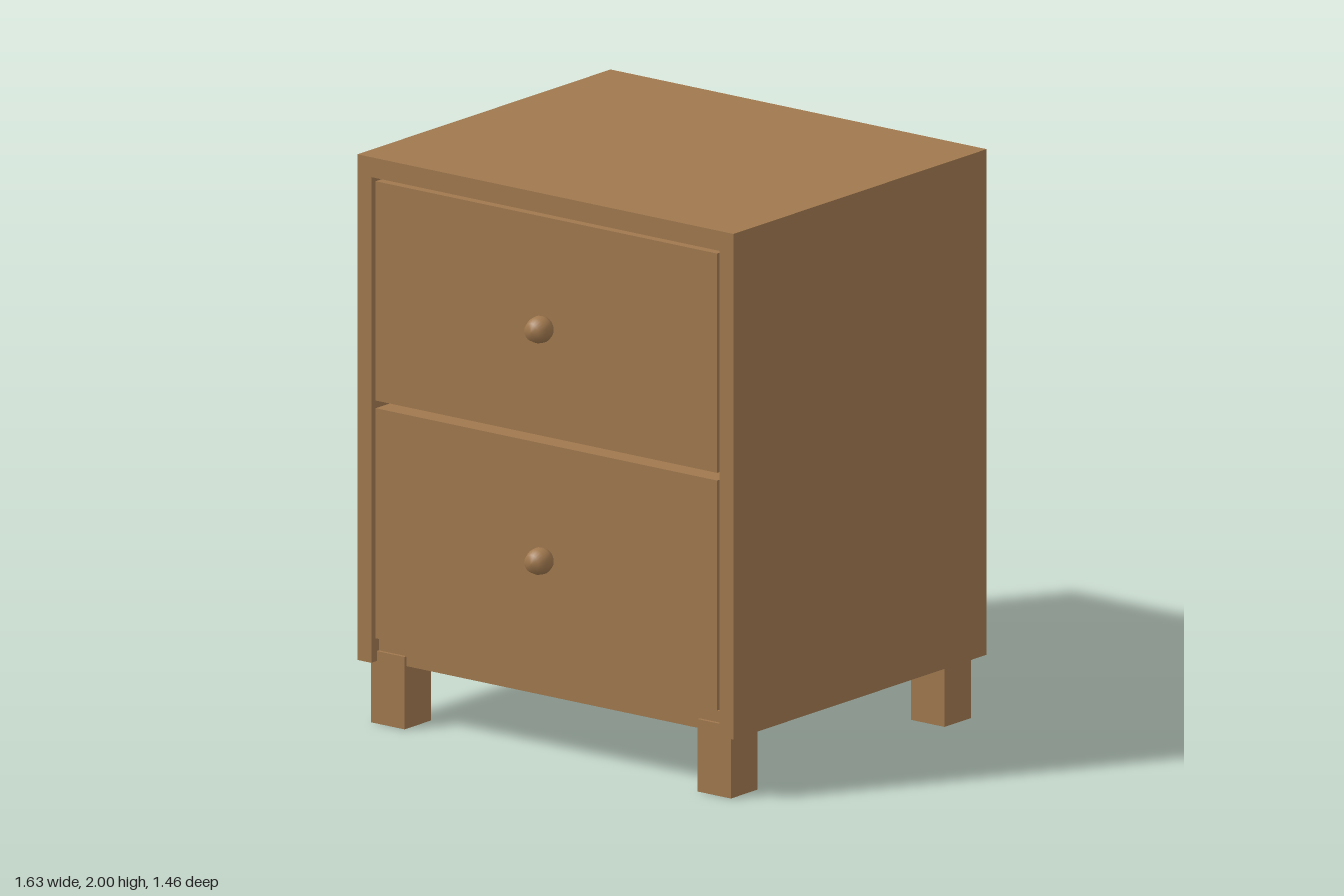
import * as THREE from 'three';

export function createModel() {
  const group = new THREE.Group();
  const wood = new THREE.MeshStandardMaterial({ color: 0xa0784e });
  wood.name = 'warm wood';

  const add = (name, geometry) => {
    const mesh = new THREE.Mesh(geometry, wood);
    mesh.name = name;
    group.add(mesh);
    return mesh;
  };

  // Box given by its lower and upper corners
  const box = (name, [x0, y0, z0], [x1, y1, z1]) =>
    add(name, new THREE.BoxGeometry(x1 - x0, y1 - y0, z1 - z0)
      .translate((x0 + x1) / 2, (y0 + y1) / 2, (z0 + z1) / 2));

  const W = 0.815, inner = 0.755, base = 0.22, front = 0.65, back = -0.73, backFace = -0.69;

  // Sides and top as one bent frame, open at the bottom
  const frame = new THREE.Shape([
    [-W, base], [-inner, base], [-inner, 1.93], [inner, 1.93],
    [inner, base], [W, base], [W, 2], [-W, 2],
  ].map(([x, y]) => new THREE.Vector2(x, y)));
  add('cabinetFrame', new THREE.ExtrudeGeometry(frame, {
    depth: front - backFace, bevelEnabled: false,
  }).translate(0, 0, backFace));
  box('backPanel', [-W, base, back], [W, 2, backFace]);

  // Bottom panel, set back behind the front legs' faces
  box('bottomPanel', [-inner, base, backFace], [inner, 0.295, 0.608]);

  // Knob profile: radius against distance out from the drawer front
  const profile = [[0.02, -0.01], [0.04, 0.005], [0.047, 0.025], [0.044, 0.05], [0.031, 0.077], [0, 0.08]]
    .map(([r, y]) => new THREE.Vector2(r, y));

  // Drawers, each with a knob
  [['lower', 0.308, 1.118, 0.715], ['upper', 1.145, 1.917, 1.53]].forEach(([place, y0, y1, knobY]) => {
    box(place + 'Drawer', [-0.74, y0, -0.65], [0.74, y1, 0.645]);
    add(place + 'Knob', new THREE.LatheGeometry(profile, 24).rotateX(Math.PI / 2))
      .position.set(0, knobY, front);
  });

  // Square legs, let into the bottom panel
  for (const x of [-0.7075, 0.7075]) {
    for (const z of [-0.6175, 0.5475]) {
      const name = (z > 0 ? 'front' : 'back') + (x > 0 ? 'Left' : 'Right') + 'Leg';
      box(name, [x - 0.0725, 0, z - 0.0725], [x + 0.0725, 0.255, z + 0.0725]);
    }
  }
  return group;
}
